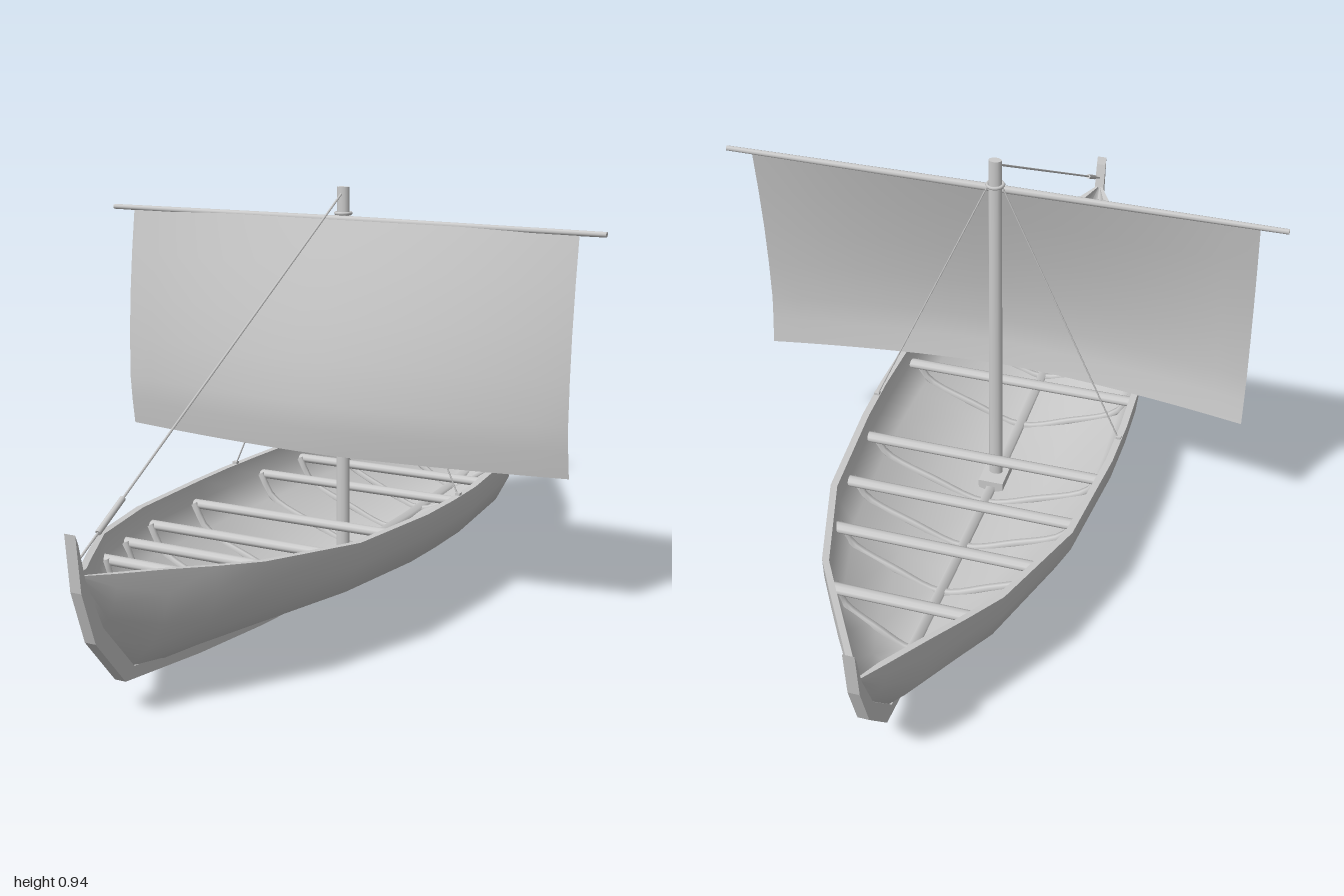
import * as THREE from 'three';

const grey = new THREE.MeshStandardMaterial({ color: 0xcccccc });
const greyDouble = new THREE.MeshStandardMaterial({ color: 0xcccccc, side: THREE.DoubleSide });
const V = (x, y, z) => new THREE.Vector3(x, y, z);

// Half-hull stations: |z|, half width, keel height, gunwale height
const STATIONS = [
  [0, 0.308, 0.03, 0.25], [0.13, 0.305, 0.03, 0.25], [0.4, 0.28, 0.04, 0.256], [0.65, 0.2, 0.055, 0.275],
  [0.74, 0.148, 0.063, 0.284], [0.83, 0.095, 0.08, 0.295], [0.92, 0.042, 0.19, 0.304], [0.975, 0.01, 0.3, 0.311],
];
// Half section, keel to gunwale, as fractions of half width and depth
const SECTION = [[0, 0], [0.45, 0.21], [0.87, 0.48], [0.99, 0.77], [1, 1]];

function station(z) {
  const a = Math.min(Math.abs(z), 0.975);
  let i = 1;
  while (STATIONS[i][0] < a) i++;
  const p = STATIONS[i - 1], q = STATIONS[i], t = (a - p[0]) / (q[0] - p[0]);
  return p.map((v, k) => v + (q[k] - v) * t);
}

// Full cross-section at z, from right gunwale under the keel to left gunwale
function section(z, inset) {
  const [, w, low, top] = station(z);
  const W = Math.max(w - inset, 0.003), L = Math.min(low + inset * 1.2, top - 0.004);
  const half = SECTION.map(([fx, fy]) => V(W * fx, L + (top - L) * fy, z));
  return [...half.slice(1).reverse().map(p => V(-p.x, p.y, z)), ...half];
}

// Skin a list of equal-length point rows
function loft(rows, flip = false) {
  const n = rows[0].length, index = [];
  for (let i = 0; i < rows.length - 1; i++) for (let j = 0; j < n - 1; j++) {
    const a = i * n + j, b = a + 1, c = a + n, d = c + 1;
    index.push(...(flip ? [a, c, b, b, c, d] : [a, b, c, b, d, c]));
  }
  const g = new THREE.BufferGeometry().setFromPoints(rows.flat());
  g.setIndex(index);
  g.computeVertexNormals();
  return g;
}

// Round bar between two points
function bar(p, q, r1, r2 = r1, sides = 8) {
  const g = new THREE.CylinderGeometry(r2, r1, p.distanceTo(q), sides);
  const turn = new THREE.Quaternion().setFromUnitVectors(V(0, 1, 0), q.clone().sub(p).normalize());
  g.applyQuaternion(turn);
  const m = p.clone().add(q).multiplyScalar(0.5);
  return g.translate(m.x, m.y, m.z);
}

export function createModel() {
  const boat = new THREE.Group();
  boat.name = 'sailingBoat';
  const add = (name, geometry, material = grey) => {
    const mesh = new THREE.Mesh(geometry, material);
    mesh.name = name;
    boat.add(mesh);
    return mesh;
  };

  // Hull shell with thickness and a capping rim
  const zs = [...STATIONS.slice(1).map(s => -s[0]).reverse(), ...STATIONS.map(s => s[0])];
  const outer = zs.map(z => section(z, 0)), inner = zs.map(z => section(z, 0.016));
  add('hullOuter', loft(outer));
  add('hullInner', loft(inner, true));
  const last = outer[0].length - 1;
  for (const [name, k] of [['rightGunwale', 0], ['leftGunwale', last]])
    add(name, loft(outer.map((row, i) => [row[k].clone(), inner[i][k].clone()])), greyDouble);

  // Keel sweeping up into both stems
  const under = [[0.13, 0.005], [0.35, 0.015], [0.6, 0.035], [0.86, 0.065], [0.95, 0.17], [0.988, 0.28], [1, 0.395]];
  const over = [[0.992, 0.375], [0.975, 0.305], [0.925, 0.195], [0.83, 0.087], [0.6, 0.066], [0.35, 0.055], [0, 0.05]];
  const half = [...under, ...over];
  const mirrored = half.slice(0, -1).reverse().map(([z, y]) => [-z, y]);
  const keel = new THREE.ExtrudeGeometry(
    new THREE.Shape([...half, ...mirrored].map(p => new THREE.Vector2(...p))),
    { depth: 0.025, bevelEnabled: false });
  add('keelAndStems', keel.translate(0, 0, -0.0125).rotateY(-Math.PI / 2));

  // Keelson along the inside of the bottom
  const keelson = [-0.9, -0.83, -0.65, -0.4, 0, 0.4, 0.65, 0.83, 0.9].map(z => {
    const y = station(z)[2] + 0.016;
    return [V(-0.01, y, z), V(-0.01, y + 0.018, z), V(0.01, y + 0.018, z), V(0.01, y, z)];
  });
  add('keelson', loft(keelson, true), greyDouble);

  // Thwarts, each above a curved rib
  for (const z of [-0.68, -0.485, -0.32, -0.15, 0.16, 0.365, 0.525, 0.67]) {
    const [, w, low, top] = station(z);
    const y = low + (top - low) * 0.78, x = w - 0.016;
    const bench = bar(V(-x, 0, 0), V(x, 0, 0), 0.015, 0.015, 10);
    add('thwart', bench.scale(1, 0.7, 1).translate(0, y, z));
    const path = new THREE.CatmullRomCurve3(section(z + 0.015, 0.02).slice(1, -1));
    add('rib', new THREE.TubeGeometry(path, 24, 0.009, 6));
  }

  // Mast, slightly oval, with a collar at the yard
  const mastZ = -0.045;
  add('mast', new THREE.CylinderGeometry(0.015, 0.017, 0.89, 12).scale(1, 1, 0.7).translate(0, 0.495, mastZ));
  add('mastStep', new THREE.BoxGeometry(0.06, 0.03, 0.09).translate(0, 0.065, mastZ));
  add('yardCollar', new THREE.TorusGeometry(0.018, 0.004, 6, 16).rotateX(Math.PI / 2).translate(0, 0.88, mastZ));

  // Yard tapering to both ends
  for (const s of [-1, 1]) add('yard', bar(V(0, 0.866, -0.036), V(s * 0.635, 0.866, -0.036), 0.009, 0.006));

  // Sail: edge and middle depths by height, bellied across
  const cuts = [[0.866, -0.035, -0.025], [0.76, -0.02, 0.006], [0.65, -0.008, 0.033],
    [0.55, -0.002, 0.053], [0.45, 0, 0.065], [0.39, -0.006, 0.061], [0.33, -0.015, 0.052]];
  const sail = cuts.map(([y, edge, mid]) => {
    const row = [];
    for (let i = 0; i <= 16; i++) {
      const u = i / 8 - 1;
      row.push(V(u * 0.575, y, mid + (edge - mid) * Math.pow(Math.abs(u), 1.6)));
    }
    return row;
  });
  add('sail', loft(sail, true), greyDouble);

  // Forestay with its tackle block
  const head = V(0, 0.93, mastZ), foot = V(0, 0.343, 0.972);
  add('forestay', bar(foot, head, 0.0025, 0.0025, 6));
  add('forestayBlock', bar(foot.clone().lerp(head, 0.055), foot.clone().lerp(head, 0.135), 0.006));

  // Shrouds to each gunwale
  for (const s of [-1, 1]) {
    add('shroud', bar(V(s * 0.3, 0.245, mastZ), V(s * 0.012, 0.885, mastZ), 0.0018, 0.0018, 6));
    add('shroudFitting', new THREE.BoxGeometry(0.012, 0.022, 0.012).translate(s * 0.299, 0.245, mastZ));
  }
  return boat;
}
